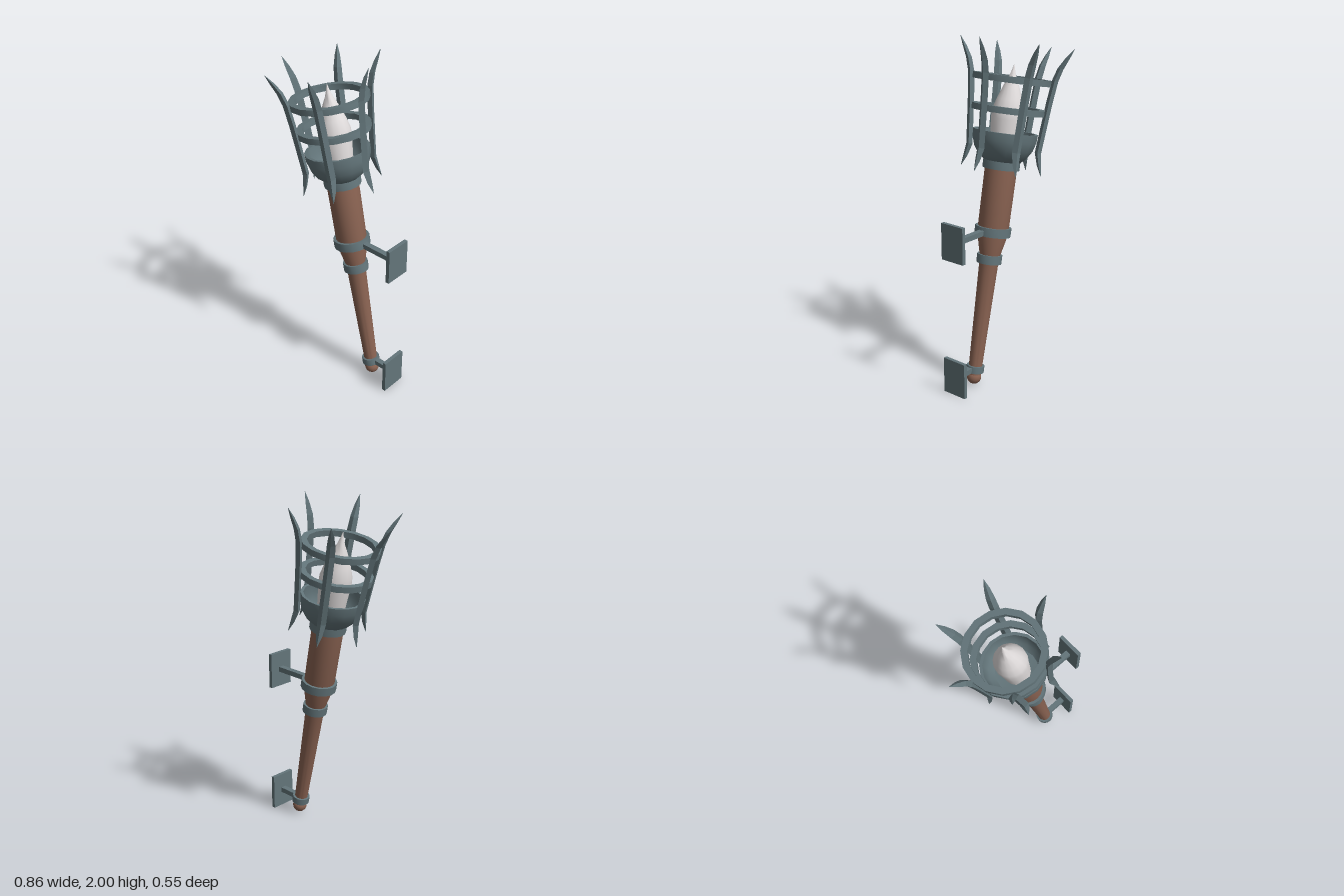
import * as THREE from 'three';
import { toCreasedNormals } from 'three/addons/utils/BufferGeometryUtils.js';

export function createModel() {
  const iron = new THREE.MeshStandardMaterial({ color: 0x63757a });
  iron.name = 'iron';
  const wood = new THREE.MeshStandardMaterial({ color: 0x8a6352 });
  wood.name = 'wood';
  const white = new THREE.MeshStandardMaterial({ color: 0xe0dcdc });
  white.name = 'flame white';

  const model = new THREE.Group();
  model.name = 'wallTorch';
  // The torch leans away from the wall; its parts are built along its own axis
  const torch = new THREE.Group();
  torch.name = 'torch';
  torch.position.set(0.26, 0.05, 0);
  torch.rotation.z = 0.2;
  model.add(torch);

  const add = (parent, name, geometry, material) => {
    const mesh = new THREE.Mesh(geometry, material);
    mesh.name = name;
    parent.add(mesh);
    return mesh;
  };
  const lathe = (points, sides, crease = 0.55) => toCreasedNormals(
    new THREE.LatheGeometry(points.map(([r, y]) => new THREE.Vector2(r, y)), sides), crease);
  const band = (name, y, outer, inner, height) => {
    const b = y - height / 2, t = y + height / 2;
    add(torch, name, lathe([[inner, b], [outer, b], [outer, t], [inner, t], [inner, b]], 16), iron);
  };

  // Wooden handle with a ball at its foot
  add(torch, 'handle', lathe([
    [0, 0], [0.037, 0], [0.055, 0.7], [0.06, 0.73], [0.088, 0.85], [0.091, 1.26], [0, 1.26],
  ], 20), wood);
  add(torch, 'footBall', new THREE.SphereGeometry(0.042, 18, 12), wood);

  // Iron bands around the handle
  band('footBand', 0.05, 0.052, 0.03, 0.04);
  band('lowerBand', 0.704, 0.072, 0.05, 0.05);
  band('middleBand', 0.865, 0.104, 0.08, 0.05);
  band('collar', 1.245, 0.105, 0.08, 0.05);

  // Open bowl
  add(torch, 'bowl', lathe([
    [0, 1.262], [0.1, 1.262], [0.135, 1.29], [0.165, 1.335], [0.18, 1.385], [0.183, 1.43],
    [0.166, 1.43], [0.162, 1.385], [0.148, 1.34], [0.12, 1.305], [0, 1.285],
  ], 16, 0.7), iron);

  // Flame
  add(torch, 'flame', lathe([
    [0.075, 1.285], [0.082, 1.4], [0.092, 1.5], [0.09, 1.55], [0.072, 1.61],
    [0.045, 1.68], [0.022, 1.73], [0.009, 1.77], [0, 1.805],
  ], 16, 0.8), white);

  // Cage hoops
  band('lowerHoop', 1.553, 0.206, 0.172, 0.034);
  band('upperHoop', 1.72, 0.221, 0.186, 0.034);

  // Cage spikes: diamond sections [radius, height, half width, half thickness]
  const stations = [
    [0.228, 1.208, 0.001, 0.001], [0.21, 1.265, 0.017, 0.012], [0.195, 1.335, 0.025, 0.018],
    [0.208, 1.48, 0.025, 0.018], [0.221, 1.62, 0.025, 0.018], [0.236, 1.74, 0.025, 0.018],
    [0.257, 1.81, 0.023, 0.017], [0.288, 1.87, 0.015, 0.012], [0.319, 1.923, 0.001, 0.001],
  ];
  const positions = [], index = [];
  stations.forEach(([r, y, w, t], i) => {
    positions.push(r + t, y, 0, r, y, -w, r - t, y, 0, r, y, w);
    if (i === 0) return;
    for (let k = 0; k < 4; k++) {
      const a = (i - 1) * 4 + k, b = (i - 1) * 4 + (k + 1) % 4;
      index.push(a, b, b + 4, a, b + 4, a + 4);
    }
  });
  const indexed = new THREE.BufferGeometry();
  indexed.setAttribute('position', new THREE.Float32BufferAttribute(positions, 3));
  indexed.setIndex(index);
  const spike = indexed.toNonIndexed();
  spike.computeVertexNormals();
  for (let i = 0; i < 6; i++) {
    add(torch, 'cageSpike', spike, iron).rotation.y = i * Math.PI / 3;
  }

  // Wall brackets: an arm and a plate each
  for (const [name, armY, plateY, startX] of [
    ['lowerBracket', 0.105, 0.105, 0.285], ['upperBracket', 0.91, 0.91, 0.17],
  ]) {
    const bracket = new THREE.Group();
    bracket.name = name;
    model.add(bracket);
    add(bracket, 'arm', new THREE.BoxGeometry(0.41 - startX, 0.03, 0.034), iron)
      .position.set((0.41 + startX) / 2, armY, 0);
    add(bracket, 'wallPlate', new THREE.BoxGeometry(0.022, 0.21, 0.154), iron)
      .position.set(0.418, plateY, 0);
  }
  return model;
}
